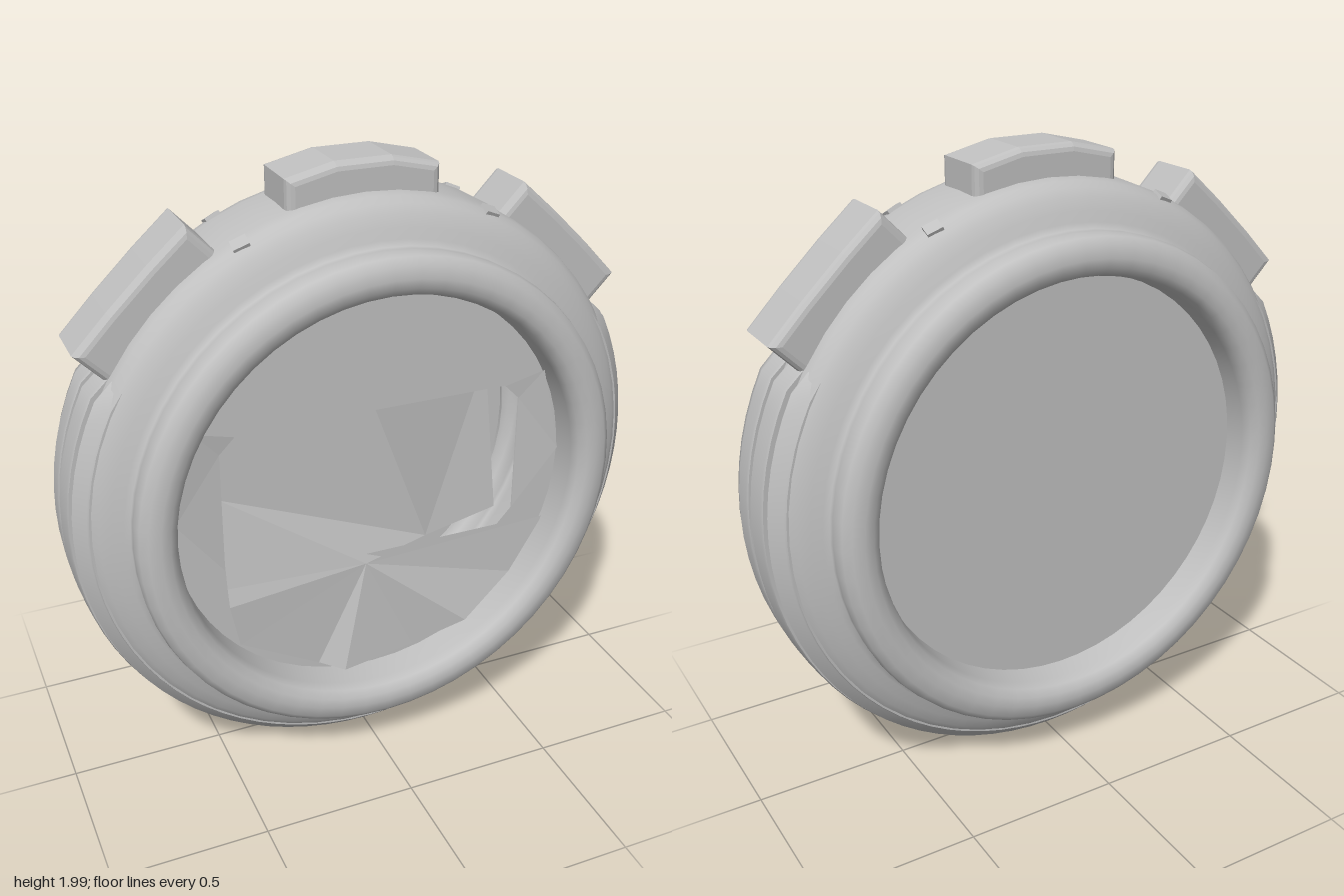
import * as THREE from 'three';

export function createModel() {
  const model = new THREE.Group();
  model.name = 'ribbedRoundDevice';
  const grey = new THREE.MeshStandardMaterial({ color: 0xc0c0c0, side: THREE.DoubleSide });
  grey.name = 'plainGrey';

  const CY = 0.975;
  const add = (name, geometry, parent = model) => {
    const mesh = new THREE.Mesh(geometry, grey);
    mesh.name = name;
    parent.add(mesh);
    return mesh;
  };
  // Lathe around the z axis; angle 0 is at the bottom
  const ring = (pts, segments, start = 0, length = Math.PI * 2) =>
    new THREE.LatheGeometry(pts.map(([r, z]) => new THREE.Vector2(r, z)), segments, start, length)
      .rotateX(Math.PI / 2);

  const round = new THREE.Group();
  round.name = 'roundBody';
  round.position.y = CY;
  round.scale.x = 0.985;
  model.add(round);

  // Case: rolled bezel on each side, shallow waist, then a bulging middle
  const half = [
    [0.672, 0.265], [0.682, 0.295], [0.705, 0.312], [0.735, 0.317], [0.772, 0.31], [0.795, 0.29],
    [0.802, 0.26], [0.798, 0.232], [0.8, 0.217], [0.818, 0.208], [0.85, 0.197], [0.885, 0.18],
    [0.91, 0.16], [0.926, 0.135], [0.934, 0.1],
  ];
  add('case', ring([
    [0.664, -0.18], ...half.map(([r, z]) => [r, -z]), [0.937, 0],
    ...half.slice().reverse(), [0.667, 0.15],
  ], 56), round);

  // Ribs around the sides and bottom, ending under the side lugs
  const ribEnd = THREE.MathUtils.degToRad(126);
  const fade = THREE.MathUtils.degToRad(7);
  const ribs = [[-0.165, -0.112, 0.91, 0.947], [-0.1, -0.01, 0.956, 0.96],
    [0.01, 0.1, 0.96, 0.956], [0.112, 0.165, 0.947, 0.91]];
  for (const [z0, z1, r0, r1] of ribs) {
    const base = 0.89;
    const g = ring([[base, z0], [r0, z0], [r0, z0], [r0 + 0.004, z0 + 0.01],
      [r1 + 0.004, z1 - 0.01], [r1, z1], [r1, z1], [base, z1]], 56, -ribEnd, ribEnd * 2);
    const p = g.attributes.position;
    for (let i = 0; i < p.count; i++) {
      const x = p.getX(i), y = p.getY(i), r = Math.hypot(x, y);
      const t = Math.min(1, Math.max(0, (ribEnd - Math.abs(Math.atan2(x, -y))) / fade));
      const k = (base + (r - base) * t) / r;
      p.setXY(i, x * k, y * k);
    }
    g.computeVertexNormals();
    add('rib', g, round);
  }

  // Flat back cover, sunk inside the rear bezel
  const back = add('backCover', new THREE.CircleGeometry(0.675, 48).rotateY(Math.PI), round);
  back.position.z = -0.195;

  // Three lugs along the top; the middle one droops at its ends
  for (const [angle, droop] of [[-44, 0.005], [0, 0.03], [44, 0.005]]) {
    const bevel = 0.025, w = 0.24 - bevel, top = (droop > 0.01 ? 1.025 : 1.02) - bevel;
    const shape = new THREE.Shape([[-w, 0.87], [w, 0.87], [w, top - droop], [w * 0.4, top],
      [-w * 0.4, top], [-w, top - droop]].map(([x, y]) => new THREE.Vector2(x, y)));
    const lug = add('lug', new THREE.ExtrudeGeometry(shape, {
      depth: 0.21 - bevel * 2, bevelThickness: bevel, bevelSize: bevel, bevelSegments: 3,
    }).translate(0, 0, bevel - 0.105));
    lug.position.y = CY;
    lug.rotation.z = THREE.MathUtils.degToRad(angle);
  }

  // Tiny nubs between the lugs, almost flush with the case
  for (const sx of [-1, 1]) for (const sz of [-1, 1]) {
    const nub = add('nub', new THREE.BoxGeometry(0.05, 0.02, 0.04));
    nub.position.set(sx * 0.39, CY + 0.835, sz * 0.13);
    nub.rotation.set(sz * 0.4, 0, -sx * 0.43);
  }

  // Front plate with a chamfered window
  const plate = new THREE.Shape().absarc(0, 0, 0.665, 0, Math.PI * 2);
  const corners = [[-0.5, 0.23], [-0.45, 0.275], [0.45, 0.275], [0.5, 0.23],
    [0.5, -0.18], [0.45, -0.235], [-0.45, -0.235], [-0.5, -0.18]];
  plate.holes.push(new THREE.Path(corners.map(([x, y]) => new THREE.Vector2(x, y))));
  const face = add('frontPlate', new THREE.ShapeGeometry(plate, 24));
  face.position.set(0, CY, 0.18);

  // Faceted sheets from a few corner points and triangles
  const facets = (name, pts, tris) => {
    const g = new THREE.BufferGeometry();
    g.setAttribute('position', new THREE.Float32BufferAttribute(tris.flat().flatMap((i) => pts[i]), 3));
    g.computeVertexNormals();
    return add(name, g);
  };

  // Window interior: flat panel, a ramp rising at lower left and a slope falling to the right
  facets('windowPanel', [[-0.5, 1.25, 0.15], [0.01, 1.25, 0.15], [0.2, 0.74, 0.15], [-0.5, 1.03, 0.15]],
    [[0, 3, 1], [1, 3, 2]]);
  facets('windowRamp', [[-0.5, 1.03, 0.15], [-0.5, 0.74, 0.2], [-0.5, 0.68, 0.215],
    [-0.03, 0.71, 0.19], [0.2, 0.74, 0.15]], [[0, 1, 3], [1, 2, 3], [0, 3, 4]]);
  facets('windowSlope', [[0.01, 1.25, 0.15], [0.2, 0.74, 0.15], [0.5, 0.74, 0.07], [0.5, 1.25, -0.04]],
    [[0, 1, 3], [1, 2, 3]]);

  // Angular shards under the window
  const rim = [[-0.5, 0.68, 0.215], [-0.47, 0.53, 0.21], [-0.2, 0.37, 0.195], [-0.12, 0.34, 0.23],
    [0.14, 0.35, 0.195], [0.32, 0.42, 0.23], [0.5, 0.55, 0.195], [0.62, 0.74, 0.19]];
  facets('lowerShards', [[-0.03, 0.71, 0.19], ...rim],
    rim.slice(1).map((_, i) => [0, i + 1, i + 2]));

  // Small angled gussets at the window's upper corners
  for (const s of [-1, 1]) {
    const tris = [[0, 1, 2], [0, 2, 3], [3, 2, 4]];
    facets('windowGusset', [[s * 0.58, 1.29, 0.2], [s * 0.45, 1.25, 0.185], [s * 0.5, 1.2, 0.185],
      [s * 0.65, 1.0, 0.2], [s * 0.5, 0.8, 0.185]],
    s < 0 ? tris.map((t) => t.slice().reverse()) : tris);
  }
  return model;
}
